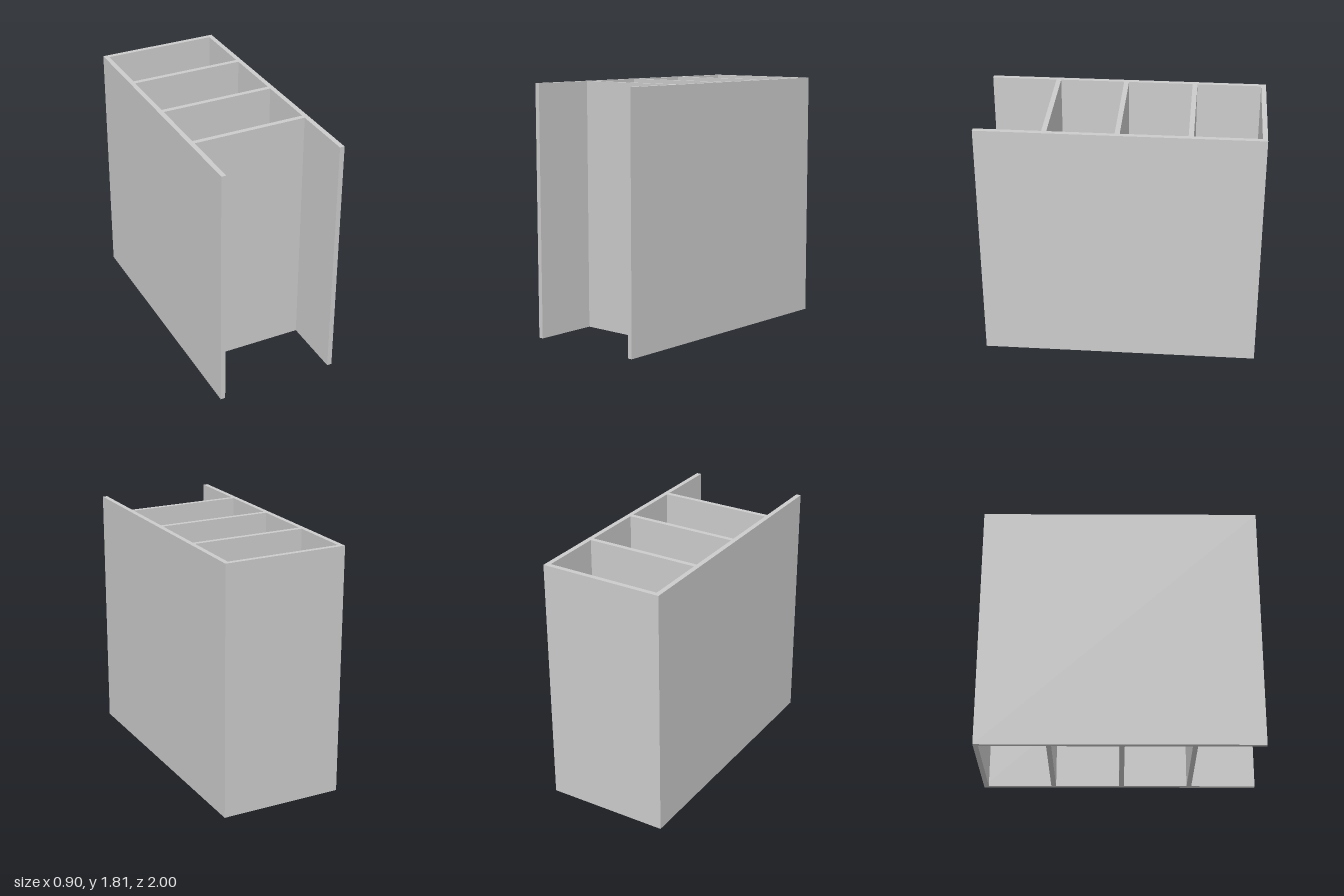
import * as THREE from 'three';

const HEIGHT = 1.81, WIDTH = 0.9, DEPTH = 2, THICK = 0.035;

export function createModel() {
  const model = new THREE.Group();
  model.name = 'openCompartmentFrame';
  const material = new THREE.MeshStandardMaterial({ color: 0xcccccc, flatShading: true });

  // Upright panel standing on the ground
  function addPanel(name, width, depth, x, z) {
    const panel = new THREE.Mesh(new THREE.BoxGeometry(width, HEIGHT, depth), material);
    panel.name = name;
    panel.position.set(x, HEIGHT / 2, z);
    model.add(panel);
  }

  // Side walls run the full depth
  for (const [name, side] of [['leftWall', 1], ['rightWall', -1]]) {
    addPanel(name, THICK, DEPTH, side * (WIDTH - THICK) / 2, 0);
  }

  // Back wall and three dividers fit between the sides; the front bay stays open
  const backFaces = [-1, -0.503, -0.003, 0.496];
  backFaces.forEach((z, i) => {
    addPanel(i === 0 ? 'backWall' : `divider${i}`, WIDTH - 2 * THICK, THICK, 0, z + THICK / 2);
  });

  return model;
}
